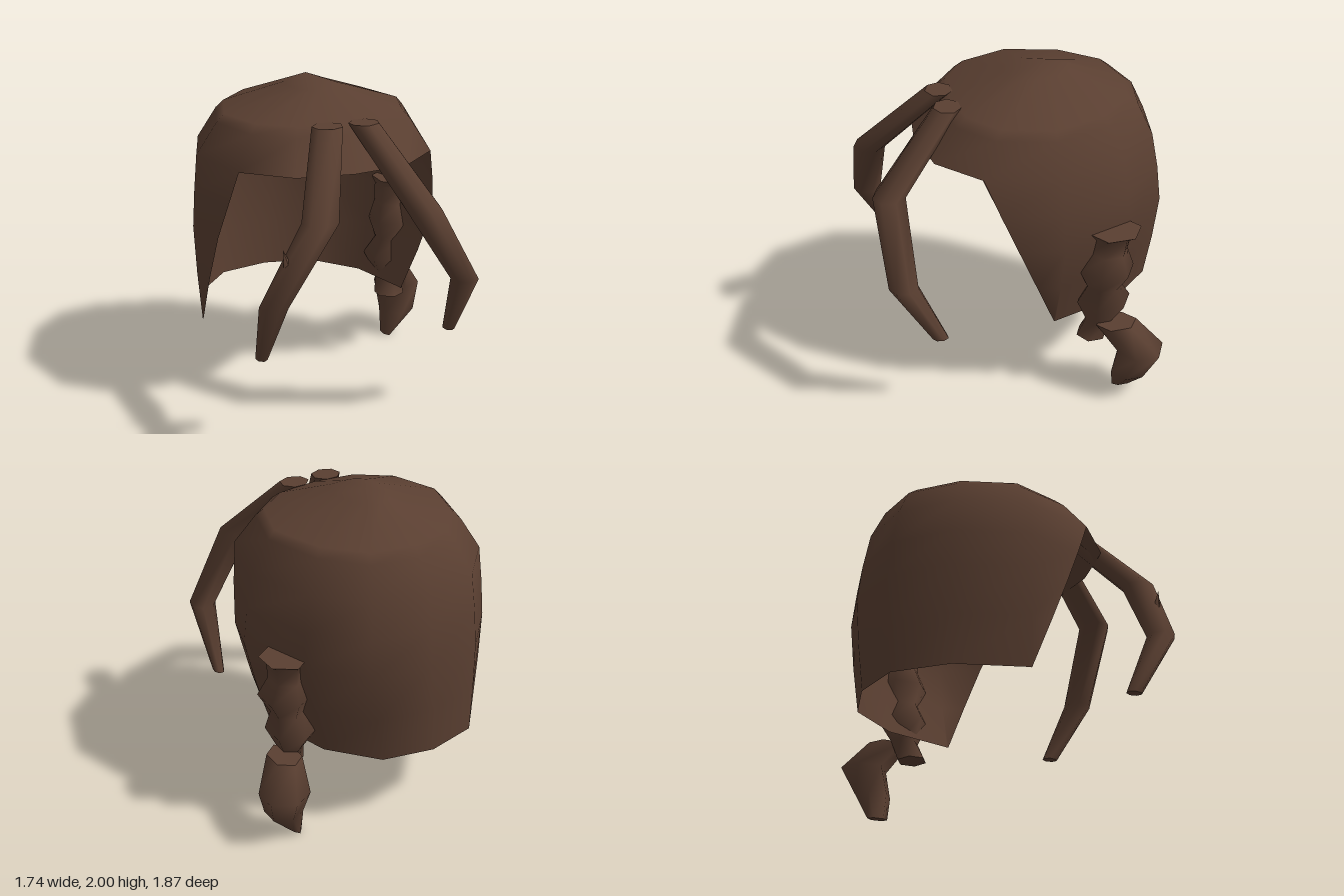
import * as THREE from 'three';

const hair = new THREE.MeshStandardMaterial({ color: 0x5a3f31, side: THREE.DoubleSide });
hair.name = 'brown hair';

// Skin a grid of rows (top to bottom) of points; closed rows wrap around.
function skin(rows, closed) {
  const n = rows[0].length, pos = rows.flat(2), idx = [];
  for (let r = 0; r < rows.length - 1; r++) {
    for (let c = 0; c < (closed ? n : n - 1); c++) {
      const a = r * n + c, b = r * n + (c + 1) % n;
      idx.push(a, a + n, b, a + n, b + n, b);
    }
  }
  const g = new THREE.BufferGeometry();
  g.setAttribute('position', new THREE.Float32BufferAttribute(pos, 3));
  g.setIndex(idx);
  g.computeVertexNormals();
  return g;
}

function add(parent, name, geometry) {
  const m = new THREE.Mesh(geometry, hair);
  m.name = name;
  parent.add(m);
  return m;
}

// Lock of hair from horizontal rings [x, y, z, rx, rz], with flat ends.
function lock(parent, name, rings, sides = 7) {
  const group = new THREE.Group();
  group.name = name;
  const rows = rings.map(([x, y, z, rx, rz]) =>
    Array.from({ length: sides }, (_, i) => {
      const a = (i / sides) * Math.PI * 2;
      return [x + rx * Math.sin(a), y, z + rz * Math.cos(a)];
    }));
  add(group, name + 'Body', skin(rows, true));
  const centre = k => rows[k].map(() => rings[k].slice(0, 3));
  const last = rows.length - 1;
  add(group, name + 'Top', skin([centre(0), rows[0]], true));
  add(group, name + 'Tip', skin([rows[last], centre(last)], true));
  parent.add(group);
}

// Twelve-sided head outline; s = 0 is the front, 3 the left, 6 the back.
const UX = [0, 0.47, 0.83, 1, 0.82, 0.47, 0];
const UZ = [1, 0.93, 0.61, 0, -0.55, -0.91, -1];
function outline(s, y, cx, rx, zf, zb) {
  const m = s > 6 ? 12 - s : s, i = Math.min(5, Math.floor(m)), f = m - i;
  const x = UX[i] + (UX[i + 1] - UX[i]) * f;
  const z = UZ[i] + (UZ[i + 1] - UZ[i]) * f;
  return [cx + rx * x * (s > 6 ? -1 : 1), y, -0.11 + z * (z > 0 ? zf : zb)];
}

export function createModel() {
  const model = new THREE.Group();
  model.name = 'hair';

  // Crown: rings [y, centre x, rx, front reach, back reach] up to the apex
  const brow = [1.58, -0.095, 0.74, 0.72, 0.755];
  const crownRings = [
    [2.0, -0.08, 0, 0, 0],
    [1.95, -0.08, 0.16, 0.15, 0.26],
    [1.82, -0.085, 0.57, 0.49, 0.6],
    [1.77, -0.088, 0.615, 0.56, 0.665],
    brow,
  ];
  const crown = crownRings.map(([y, cx, rx, zf, zb], k) =>
    Array.from({ length: 12 }, (_, s) => k ? outline(s, y, cx, rx, zf, zb) : [cx, y, -0.23]));

  // Sides and back: the face opening widens from the brow to the hem
  const curtainRings = [
    brow,
    [1.36, -0.085, 0.77, 0.73, 0.795],
    [1.13, -0.08, 0.79, 0.73, 0.82],
    [0.82, -0.11, 0.745, 0.73, 0.805],
    [0.51, -0.145, 0.685, 0.73, 0.78],
  ];
  const curtain = curtainRings.map(([y, cx, rx, zf, zb]) => {
    const s0 = 2 + 0.98 * (1.58 - y) / 1.07;
    return [s0, 3, 4, 5, 6, 7, 8, 9, 12 - s0].map(s => outline(s, y, cx, rx, zf, zb));
  });

  // Share normals along the seam between crown and curtain
  const top = skin(crown, true), low = skin(curtain, false);
  const nt = top.attributes.normal, nl = low.attributes.normal;
  const v = new THREE.Vector3(), w = new THREE.Vector3();
  const seam = (crownRings.length - 1) * 12 + 2;
  for (let i = 0; i < 9; i++) {
    v.fromBufferAttribute(nt, seam + i).add(w.fromBufferAttribute(nl, i)).normalize();
    nt.setXYZ(seam + i, v.x, v.y, v.z);
    nl.setXYZ(i, v.x, v.y, v.z);
  }
  // The apex points straight up
  for (let i = 0; i < 12; i++) nt.setXYZ(i, 0, 1, 0);
  add(model, 'crown', top);
  add(model, 'backAndSides', low);

  // Two long front locks, mirrored about the parting
  for (const [name, s] of [['leftBang', 1], ['rightBang', -1]]) {
    const px = d => -0.08 + s * d;
    lock(model, name, [
      [px(0.115), 1.83, 0.425, 0.095, 0.085],
      [px(0.32), 1.4, 0.835, 0.11, 0.1],
      [px(0.6), 0.93, 0.825, 0.085, 0.09],
      [px(0.61), 0.52, 0.615, 0.035, 0.05],
    ]);
  }

  // Loose tuft on the right bang
  const tuft = add(model, 'tuft', new THREE.ConeGeometry(0.04, 0.17, 4));
  tuft.position.set(-0.61, 1.19, 0.85);
  tuft.rotation.z = 0.25;

  // Braid with alternating bulges, flared at both ends
  lock(model, 'braid', [
    [0.63, 1.18, -0.445, 0.145, 0.165],
    [0.61, 1.14, -0.43, 0.11, 0.13],
    [0.6, 1.02, -0.42, 0.11, 0.12],
    [0.61, 0.9, -0.41, 0.16, 0.17],
    [0.59, 0.77, -0.4, 0.1, 0.105],
    [0.57, 0.65, -0.41, 0.155, 0.17],
    [0.57, 0.51, -0.39, 0.08, 0.09],
    [0.56, 0.39, -0.34, 0.1, 0.095],
  ], 6);

  // Bent tail below the braid
  lock(model, 'braidTail', [
    [0.655, 0.515, -0.47, 0.1, 0.13],
    [0.735, 0.35, -0.605, 0.157, 0.15],
    [0.71, 0.17, -0.545, 0.12, 0.115],
    [0.628, 0, -0.535, 0.03, 0.065],
  ], 6);

  return model;
}
